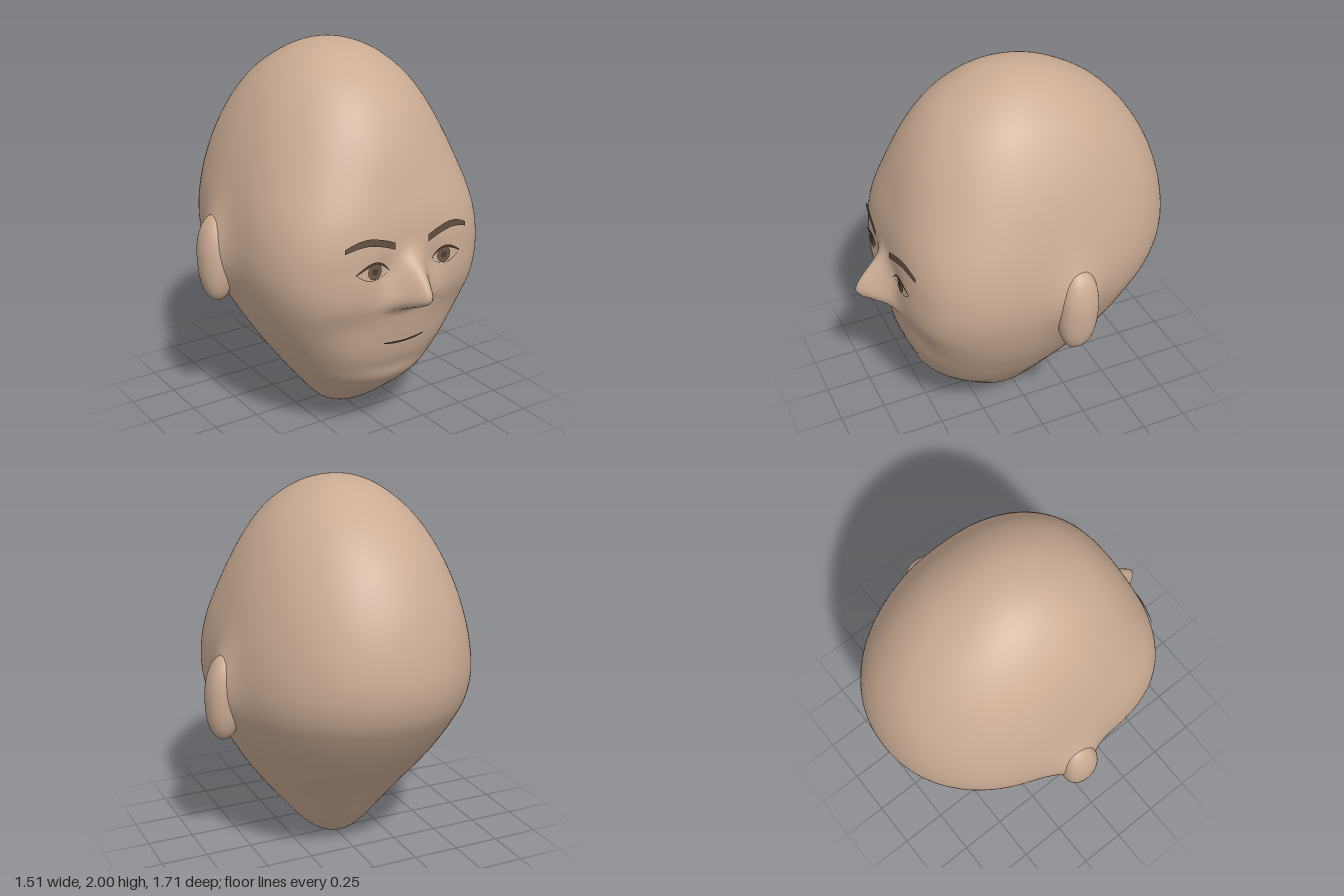
import * as THREE from 'three';

// Skull outline: height, half width, front z, back z
const SKULL = [
  [0, 0, 0.02, 0.02], [0.03, 0.112, 0.165, -0.085], [0.1, 0.193, 0.285, -0.165], [0.2, 0.276, 0.41, -0.25],
  [0.28, 0.342, 0.5, -0.315], [0.34, 0.387, 0.55, -0.365], [0.42, 0.443, 0.585, -0.432], [0.5, 0.492, 0.615, -0.507],
  [0.6, 0.547, 0.64, -0.592], [0.7, 0.59, 0.662, -0.672], [0.8, 0.622, 0.682, -0.745], [0.9, 0.645, 0.685, -0.808],
  [1.0, 0.653, 0.682, -0.843], [1.1, 0.648, 0.68, -0.853], [1.2, 0.634, 0.67, -0.843], [1.4, 0.582, 0.62, -0.79],
  [1.6, 0.502, 0.545, -0.688], [1.8, 0.376, 0.41, -0.515], [1.92, 0.246, 0.25, -0.33], [2, 0, -0.04, -0.04],
];
const angleOf = (y) => Math.acos(THREE.MathUtils.clamp(1 - y, -1, 1));
const SKULL_BY_ANGLE = SKULL.map(([y, ...rest]) => [angleOf(y), ...rest]);

// Nose: height, projection, half width
const NOSE = [
  [0.75, 0, 0.11], [0.775, 0.025, 0.11], [0.8, 0.085, 0.105], [0.835, 0.147, 0.095], [0.87, 0.167, 0.085],
  [0.9, 0.158, 0.078], [0.95, 0.125, 0.072], [1.0, 0.082, 0.066], [1.04, 0.042, 0.062], [1.08, 0.012, 0.06], [1.13, 0, 0.06],
];

// Smooth interpolation of one column of a table
function sample(rows, key, col) {
  const n = rows.length - 1;
  if (key <= rows[0][0]) return rows[0][col];
  if (key >= rows[n][0]) return rows[n][col];
  let i = 0;
  while (rows[i + 1][0] < key) i++;
  const gap = (k) => rows[k + 1][0] - rows[k][0];
  const chord = (k) => (rows[k + 1][col] - rows[k][col]) / gap(k);
  const slope = (k) => {
    if (k === 0) return 1.5 * chord(0) - 0.5 * slope(1);
    if (k === n) return 1.5 * chord(n - 1) - 0.5 * slope(n - 1);
    return (chord(k - 1) * gap(k) + chord(k) * gap(k - 1)) / (gap(k) + gap(k - 1));
  };
  const h = gap(i), t = (key - rows[i][0]) / h, t2 = t * t, t3 = t2 * t;
  return (2 * t3 - 3 * t2 + 1) * rows[i][col] + (t3 - 2 * t2 + t) * h * slope(i)
    + (3 * t2 - 2 * t3) * rows[i + 1][col] + (t3 - t2) * h * slope(i + 1);
}

const bell = (dx, dy, rx, ry) => Math.exp(-((dx / rx) ** 2) - (dy / ry) ** 2);

function section(y) {
  const angle = angleOf(y);
  const [w, front, back] = [1, 2, 3].map((c) => sample(SKULL_BY_ANGLE, angle, c));
  const mid = (front + back) / 2 + 0.06 * Math.sin(angle);
  const n = 2.1 + 1.1 * Math.exp(-(((y - 0.98) / 0.42) ** 2));
  return { w, front, back, mid, n };
}

// Relief of the face added to the plain skull
function relief(x, y) {
  const ax = Math.abs(x);
  const nose = sample(NOSE, y, 1) * Math.exp(-((ax / sample(NOSE, y, 2)) ** 1.8));
  return nose
    - 0.012 * bell(ax - 0.15, y - 0.99, 0.07, 0.07)
    - 0.018 * bell(ax - 0.29, y - 0.69, 0.13, 0.12)
    - 0.005 * bell(x, y - 0.41, 0.15, 0.045)
    + 0.004 * bell(x, y - 0.33, 0.13, 0.05);
}

function faceZ(x, y) {
  const { w, front, mid, n } = section(y);
  return mid + (front - mid) * (1 - Math.min(1, Math.abs(x) / w) ** n) ** (1 / n) + relief(x, y);
}

function build(pos, index) {
  const g = new THREE.BufferGeometry();
  g.setAttribute('position', new THREE.Float32BufferAttribute(pos, 3));
  g.setIndex(index);
  g.computeVertexNormals();
  return g;
}

function headGeometry() {
  const R = 150, S = 200, pos = [0, 0, 0.02], index = [];
  const id = (i, j) => (i === 0 ? 0 : i === R ? 1 + (R - 1) * S : 1 + (i - 1) * S + (j % S));
  for (let i = 1; i < R; i++) {
    const y = 1 - Math.cos((Math.PI * i) / R);
    const { w, front, back, mid, n } = section(y);
    for (let j = 0; j < S; j++) {
      // Columns are packed closer together across the face
      const u = (j / S) * Math.PI * 2, a = u - 0.5 * Math.sin(u);
      const s = Math.sin(a), c = Math.cos(a), p = c > 0 ? n : 2.1;
      const r = (Math.abs(s) ** p + Math.abs(c) ** p) ** (-1 / p);
      let x = w * r * s, z = mid + (c > 0 ? front - mid : mid - back) * r * c;
      if (c > 0) z += relief(x, y) * Math.min(1, c * 3);
      // Skin swells out to meet the ears
      if (Math.abs(s) > 0.5) x += Math.sign(s) * 0.07 * bell(z + 0.1, y - 0.96, 0.125, 0.2);
      pos.push(x, y, z);
    }
  }
  pos.push(0, 2, -0.04);
  for (let i = 0; i < R; i++) {
    for (let j = 0; j < S; j++) {
      const a = id(i, j), b = id(i, j + 1), c = id(i + 1, j + 1), d = id(i + 1, j);
      if (i > 0) index.push(a, b, c);
      if (i < R - 1) index.push(a, c, d);
    }
  }
  return build(pos, index);
}

// Thin strip lying on the face; rows are x, y, half thickness
function strip(rows, side, lift) {
  const pos = [], index = [], N = 28;
  for (let i = 0; i <= N; i++) {
    const x = THREE.MathUtils.lerp(rows[0][0], rows[rows.length - 1][0], i / N);
    const y = sample(rows, x, 1), h = sample(rows, x, 2);
    for (const e of [-h, h]) pos.push(side * x, y + e, faceZ(x, y + e) + lift);
    const k = i * 2;
    if (i < N) index.push(...(side > 0 ? [k, k + 2, k + 3, k, k + 3, k + 1] : [k, k + 3, k + 2, k, k + 1, k + 3]));
  }
  return build(pos, index);
}

function disc(x, y, radius, lift) {
  const g = new THREE.CircleGeometry(radius, 28).translate(x, y, 0);
  const p = g.attributes.position;
  for (let i = 0; i < p.count; i++) p.setZ(i, faceZ(p.getX(i), p.getY(i)) + lift);
  g.computeVertexNormals();
  return g;
}

// Ear: a rounded slab that leans in at the top
function earGeometry(side) {
  const g = new THREE.SphereGeometry(1, 40, 32), p = g.attributes.position, e = 2.3;
  for (let i = 0; i < p.count; i++) {
    const x = p.getX(i), y = p.getY(i), z = p.getZ(i);
    const k = (Math.abs(x) ** e + Math.abs(y) ** e + Math.abs(z) ** e) ** (-1 / e);
    const lean = y > 0 ? 0.025 * y * y : 0;
    p.setXYZ(i, side * (0.667 - lean) + x * k * 0.087, 0.925 + y * k * 0.23, -0.095 + z * k * 0.102 - 0.01 * y);
  }
  g.computeVertexNormals();
  return g;
}

export function createModel() {
  const model = new THREE.Group();
  model.name = 'head';
  const material = (name, color, side = THREE.FrontSide) => {
    const m = new THREE.MeshStandardMaterial({ color, side });
    m.name = name;
    return m;
  };
  const skin = material('skin', 0xcbac94);
  const brow = material('browBrown', 0x5f4d3f, THREE.DoubleSide);
  const line = material('lineBrown', 0x4a3b30, THREE.DoubleSide);
  const iris = material('irisBrown', 0x6c5747, THREE.DoubleSide);
  const add = (name, geometry, mat) => {
    const mesh = new THREE.Mesh(geometry, mat);
    mesh.name = name;
    model.add(mesh);
  };

  add('skull', headGeometry(), skin);
  for (const side of [1, -1]) {
    const label = side > 0 ? 'left' : 'right';
    add(label + 'Ear', earGeometry(side), skin);
    add(label + 'Eyebrow', strip([[0.1, 1.117, 0.018], [0.17, 1.143, 0.018], [0.26, 1.157, 0.017], [0.31, 1.148, 0.015], [0.365, 1.127, 0.011]], side, 0.012), brow);
    add(label + 'UpperLid', strip([[0.127, 0.995, 0.002], [0.16, 1.028, 0.006], [0.21, 1.047, 0.007], [0.26, 1.035, 0.007], [0.315, 1.003, 0.003]], side, 0.01), line);
    add(label + 'LowerLid', strip([[0.14, 0.985, 0.001], [0.21, 0.96, 0.001], [0.26, 0.968, 0.0015], [0.305, 0.995, 0.001]], side, 0.007), line);
    add(label + 'Iris', disc(side * 0.21, 1.003, 0.041, 0.006), iris);
    add(label + 'Pupil', disc(side * 0.21, 1.003, 0.018, 0.009), line);
  }
  add('mouth', strip([[-0.12, 0.583, 0.003], [-0.06, 0.575, 0.006], [0, 0.572, 0.005], [0.06, 0.575, 0.006], [0.12, 0.583, 0.003]], 1, 0.008), line);
  return model;
}
